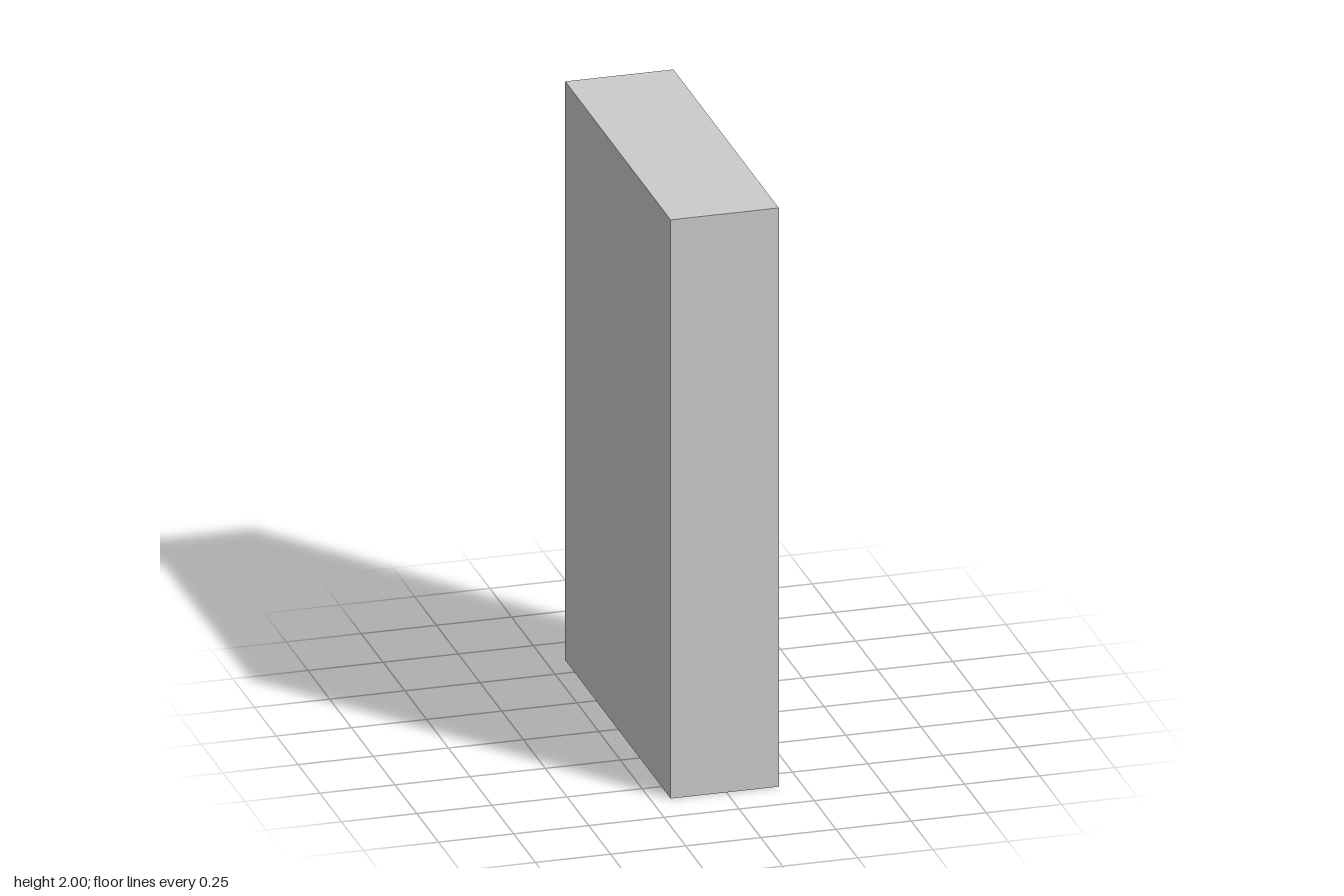
import * as THREE from 'three';

const H = 2, W = 1.21;                                // height, width along z
const BACK = -0.182, FRONT = 0.174, DOOR = 0.15;      // planes along x
const OPEN = { inner: 0.03, outer: 0.58, low: 0.028, high: 1.974 };

const grey = new THREE.MeshStandardMaterial({ color: 0xcccccc });

function addMesh(parent, name, geometry, x = 0, y = 0, z = 0) {
  const mesh = new THREE.Mesh(geometry, grey);
  mesh.name = name;
  mesh.position.set(x, y, z);
  parent.add(mesh);
  return mesh;
}

function rectangle(PathType, x0, y0, x1, y1) {
  return new PathType([[x0, y0], [x1, y0], [x1, y1], [x0, y1]].map(p => new THREE.Vector2(...p)));
}

export function createModel() {
  const cabinet = new THREE.Group();
  cabinet.name = 'cabinet';

  // Carcass: outer walls and centre post around two door openings
  const outline = rectangle(THREE.Shape, -W / 2, 0, W / 2, H);
  for (const s of [-1, 1]) {
    const [a, b] = [s * OPEN.inner, s * OPEN.outer].sort((p, q) => p - q);
    outline.holes.push(rectangle(THREE.Path, a, OPEN.low, b, OPEN.high));
  }
  const carcass = new THREE.ExtrudeGeometry(outline, { depth: FRONT - BACK, bevelEnabled: false });
  carcass.rotateY(Math.PI / 2);
  addMesh(cabinet, 'carcass', carcass, BACK);

  // Thin panel closing the back
  addMesh(cabinet, 'backPanel', new THREE.BoxGeometry(0.004, H, W), BACK - 0.002, H / 2);

  // Recessed doors, each with a round knob beside the centre post
  const doorGeometry = new THREE.BoxGeometry(0.02, OPEN.high - OPEN.low, OPEN.outer - OPEN.inner);
  const knobGeometry = new THREE.CylinderGeometry(0.035, 0.035, 0.034, 32).rotateZ(-Math.PI / 2);
  for (const [side, s] of [['left', 1], ['right', -1]]) {
    addMesh(cabinet, side + 'Door', doorGeometry, DOOR - 0.01, (OPEN.low + OPEN.high) / 2, s * (OPEN.inner + OPEN.outer) / 2);
    addMesh(cabinet, side + 'Knob', knobGeometry, DOOR + 0.017, 1.09, s * 0.09);
  }
  return cabinet;
}
